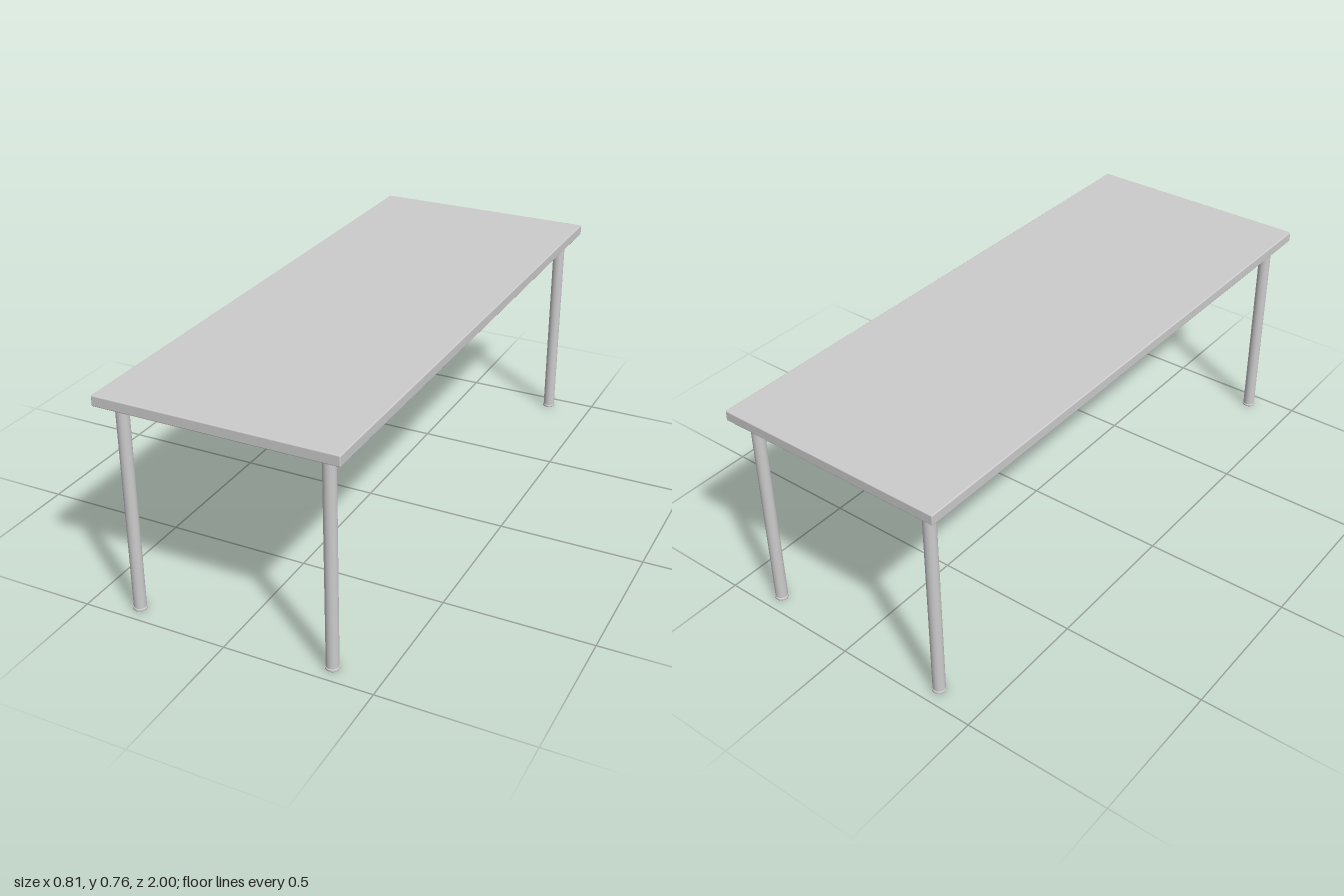
import * as THREE from 'three';
import { RoundedBoxGeometry } from 'three/addons/geometries/RoundedBoxGeometry.js';

const TOP = { width: 0.806, length: 2, bottom: 0.72, thickness: 0.036, bevel: 0.004 };
const LEG = { x: 0.339, z: 0.942, radius: 0.0205 };
const FOOT = { radius: 0.023, height: 0.009, round: 0.002 };

export function createModel() {
  const table = new THREE.Group();
  table.name = 'table';
  const material = new THREE.MeshStandardMaterial({ color: 0xcccccc });

  // Slab with softly rounded edges
  const top = new THREE.Mesh(
    new RoundedBoxGeometry(TOP.width, TOP.thickness, TOP.length, 3, TOP.bevel), material);
  top.name = 'tableTop';
  top.position.y = TOP.bottom + TOP.thickness / 2;
  table.add(top);

  // Round post reaching from the foot to the underside of the slab
  const postHeight = TOP.bottom - FOOT.height;
  const postGeometry = new THREE.CylinderGeometry(LEG.radius, LEG.radius, postHeight, 32);
  postGeometry.translate(0, FOOT.height + postHeight / 2, 0);

  // Slightly wider foot cap with rounded rims
  const { radius: r, height: h, round: b } = FOOT;
  const footGeometry = new THREE.LatheGeometry([
    [0, 0], [r - b, 0], [r - b * 0.3, b * 0.3], [r, b],
    [r, h - b], [r - b * 0.3, h - b * 0.3], [r - b, h], [0, h],
  ].map(([x, y]) => new THREE.Vector2(x, y)), 32);

  // One leg at each corner
  for (const [endName, sz] of [['front', 1], ['back', -1]]) {
    for (const [sideName, sx] of [['Left', 1], ['Right', -1]]) {
      const leg = new THREE.Group();
      leg.name = `${endName}${sideName}Leg`;
      const post = new THREE.Mesh(postGeometry, material);
      post.name = 'post';
      const foot = new THREE.Mesh(footGeometry, material);
      foot.name = 'foot';
      leg.add(post, foot);
      leg.position.set(sx * LEG.x, 0, sz * LEG.z);
      table.add(leg);
    }
  }
  return table;
}
